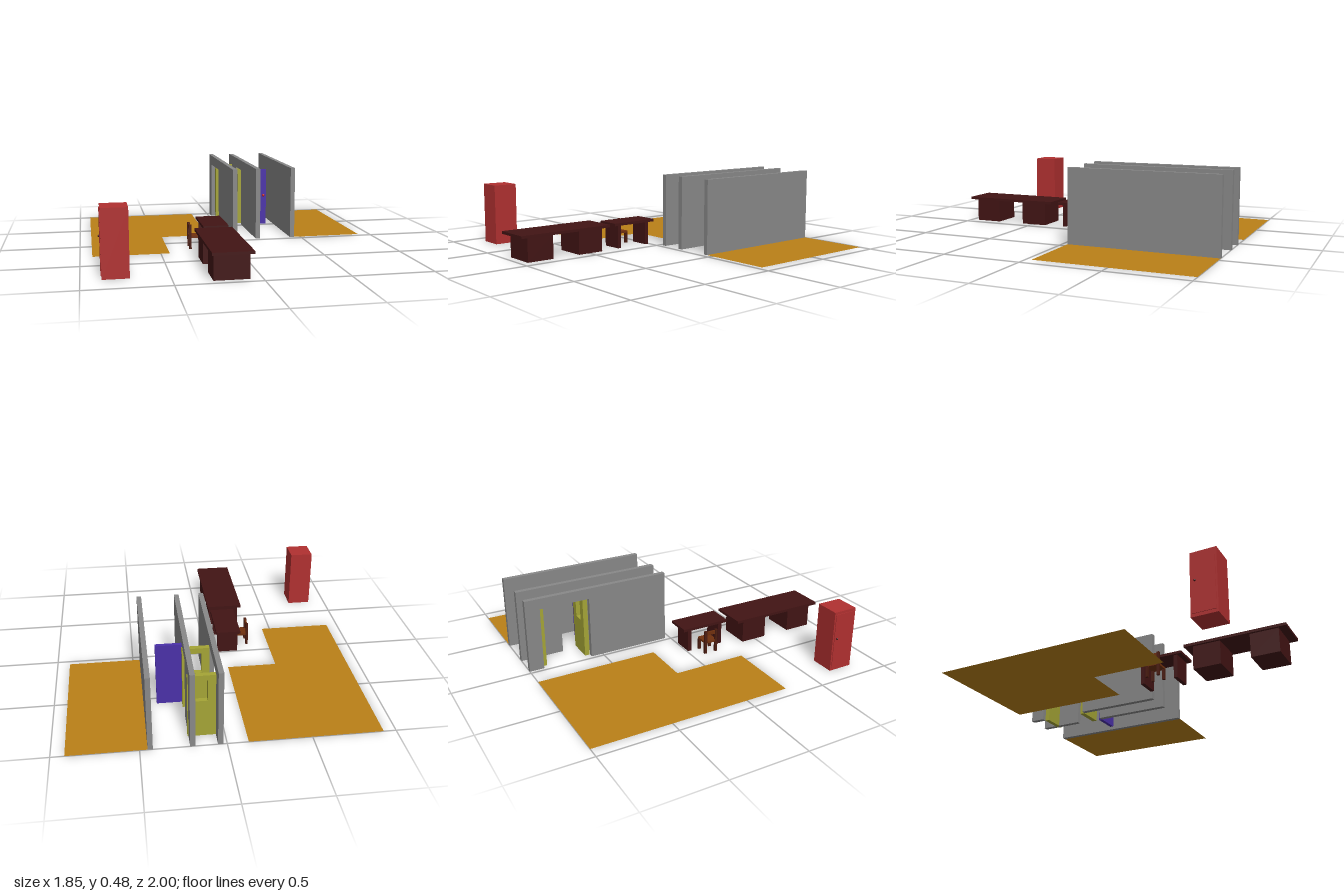
import * as THREE from 'three';

const mat = (color, side = THREE.FrontSide) =>
  new THREE.MeshStandardMaterial({ color, side, flatShading: true });
const GREY = mat(0x888888), OLIVE = mat(0xa4a436), BLUE = mat(0x4a30a8), RED = mat(0xb03030);
const DARK = mat(0x421414), BROWN = mat(0x70300e), LEG = mat(0x4c1c10), KNOB = mat(0xc02020);
const FLOOR = mat(0xba8018, THREE.DoubleSide);

// Box given by its limits on each axis
function box(parent, name, material, [x0, x1], [y0, y1], [z0, z1]) {
  const m = new THREE.Mesh(new THREE.BoxGeometry(x1 - x0, y1 - y0, z1 - z0), material);
  m.position.set((x0 + x1) / 2, (y0 + y1) / 2, (z0 + z1) / 2);
  m.name = name;
  parent.add(m);
  return m;
}

function group(parent, name) {
  const g = new THREE.Group();
  g.name = name;
  parent.add(g);
  return g;
}

function outline(points) {
  return new THREE.Shape(points.map(([x, y]) => new THREE.Vector2(x, y)));
}

function knob(parent, material, x, y, z, r) {
  const m = new THREE.Mesh(new THREE.SphereGeometry(r, 12, 8), material);
  m.position.set(x, y, z);
  m.name = 'knob';
  parent.add(m);
}

// Flat floor from an outline in x and z
function floor(parent, name, points) {
  const geo = new THREE.ShapeGeometry(outline(points.map(([x, z]) => [x, -z])));
  geo.rotateX(-Math.PI / 2);
  const m = new THREE.Mesh(geo, FLOOR);
  m.position.y = 0.001;
  m.name = name;
  parent.add(m);
}

// Wall running along z, with an optional doorway notch
function wall(parent, name, x0, x1, door) {
  const a = -1, b = -0.035, h = 0.48, top = 0.41;
  const notch = door ? [[-door[0], 0], [-door[0], top], [-door[1], top], [-door[1], 0]] : [];
  // shape x is -z, so the outline runs from the back end to the front end
  const pts = [[-a, 0], ...notch, [-b, 0], [-b, h], [-a, h]];
  const geo = new THREE.ExtrudeGeometry(outline(pts), { depth: x1 - x0, bevelEnabled: false });
  geo.rotateY(Math.PI / 2);
  const m = new THREE.Mesh(geo, GREY);
  m.position.x = x0;
  m.name = name;
  parent.add(m);
}

// Door leaf across the corridor, with a window opening
function windowDoor(parent, z0, z1) {
  const shape = outline([[0.052, 0], [0.218, 0], [0.218, 0.41], [0.052, 0.41]]);
  shape.holes.push(outline([[0.1, 0.24], [0.1, 0.375], [0.17, 0.375], [0.17, 0.24]]));
  const geo = new THREE.ExtrudeGeometry(shape, { depth: z1 - z0, bevelEnabled: false });
  const m = new THREE.Mesh(geo, OLIVE);
  m.position.z = z0;
  m.name = 'windowDoor';
  parent.add(m);
}

export function createModel() {
  const model = new THREE.Group();
  model.name = 'officeRoom';

  // Floors
  floor(model, 'cornerFloor', [[-0.925, -1], [-0.125, -1], [-0.125, -0.2],
    [-0.445, -0.2], [-0.445, 0.28], [-0.925, 0.28]]);
  floor(model, 'sideFloor', [[0.44, -1], [0.92, -1], [0.92, -0.035], [0.44, -0.035]]);

  // Walls, two of them with doorways
  const walls = group(model, 'walls');
  wall(walls, 'entranceWall', 0.022, 0.053, [-0.905, -0.578]);
  wall(walls, 'middleWall', 0.182, 0.213, [-0.715, -0.535]);
  wall(walls, 'outerWall', 0.425, 0.455);

  // Open doors
  const doors = group(model, 'doors');
  windowDoor(doors, -0.905, -0.875);
  windowDoor(doors, -0.612, -0.58);
  box(doors, 'plainDoor', BLUE, [0.211, 0.373], [0, 0.41], [-0.556, -0.532]);
  knob(doors, KNOB, 0.352, 0.215, -0.53, 0.01);

  // Cabinet with a door on its right side
  const cabinet = group(model, 'cabinet');
  box(cabinet, 'cabinetBody', RED, [-0.882, -0.727], [0, 0.402], [0.655, 0.815]);
  box(cabinet, 'cabinetDoor', RED, [-0.886, -0.88], [0.02, 0.385], [0.665, 0.805]);
  knob(cabinet, DARK, -0.887, 0.22, 0.685, 0.007);

  // Large desk on two pedestals
  const desk = group(model, 'desk');
  box(desk, 'deskTop', DARK, [-0.296, -0.058], [0.153, 0.17], [0.345, 1]);
  for (const z of [0.4, 0.77])
    box(desk, 'pedestal', DARK, [-0.281, -0.073], [0, 0.154], [z, z + 0.18]);

  // Small table on two side panels
  const table = group(model, 'sideTable');
  box(table, 'tableTop', DARK, [-0.233, -0.07], [0.153, 0.17], [-0.03, 0.297]);
  for (const z of [0.008, 0.24])
    box(table, 'tableSide', DARK, [-0.22, -0.083], [0, 0.154], [z, z + 0.025]);

  // Chair facing the small table
  const chair = group(model, 'chair');
  box(chair, 'seat', BROWN, [-0.303, -0.21], [0.07, 0.084], [0.088, 0.178]);
  for (const z of [0.085, 0.163]) {
    box(chair, 'backPost', LEG, [-0.307, -0.291], [0, 0.158], [z, z + 0.017]);
    box(chair, 'frontLeg', LEG, [-0.228, -0.212], [0, 0.072], [z, z + 0.017]);
  }
  box(chair, 'backRail', BROWN, [-0.304, -0.294], [0.128, 0.152], [0.1, 0.165]);

  return model;
}
